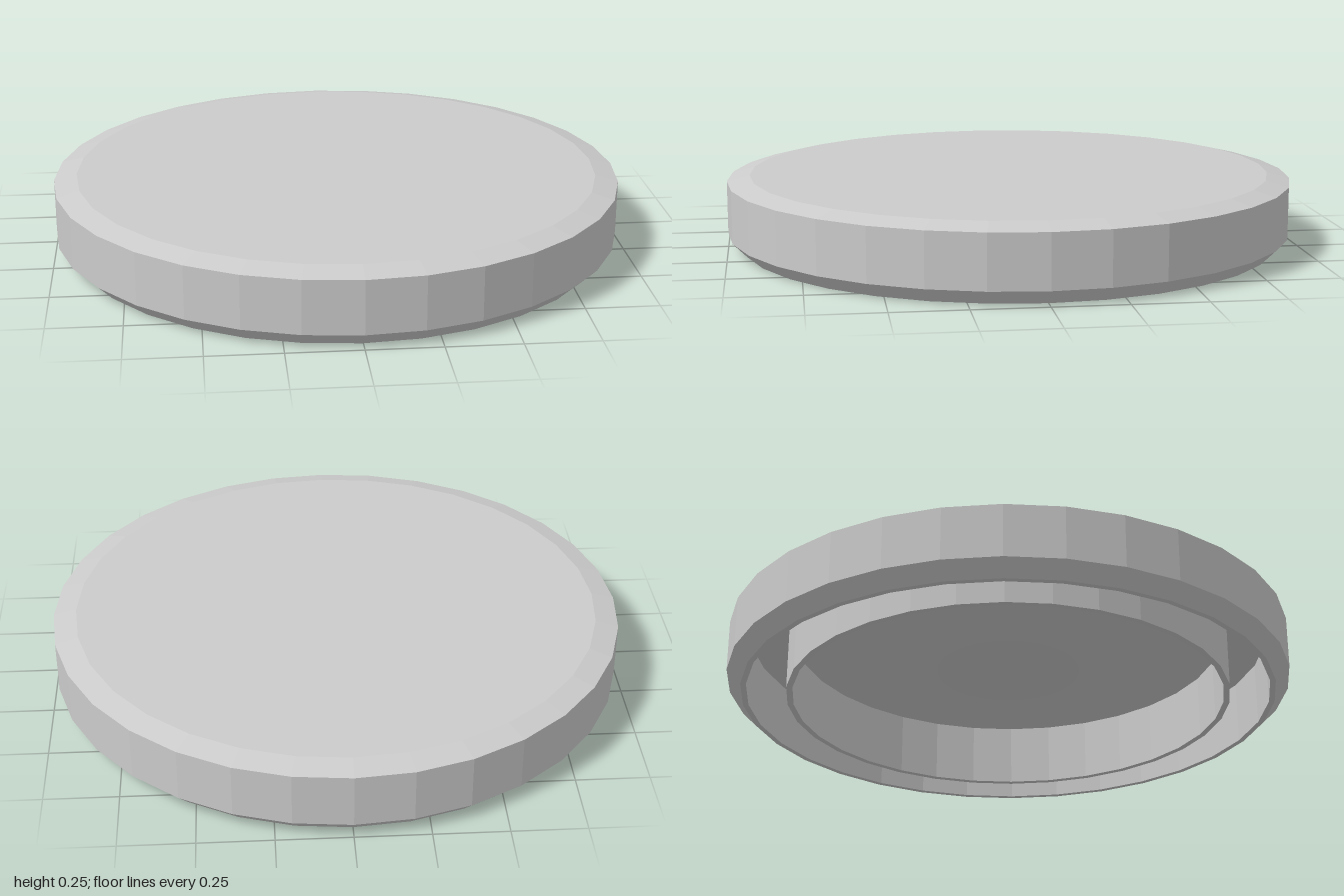
import * as THREE from 'three';

const SIDES = 32;

// Revolves a list of [radius, height] pairs, outlined from underside to top
function turned(name, profile) {
  const points = profile.map(([r, y]) => new THREE.Vector2(r, y));
  const material = new THREE.MeshStandardMaterial({ color: 0xcccccc, flatShading: true });
  const mesh = new THREE.Mesh(new THREE.LatheGeometry(points, SIDES), material);
  mesh.name = name;
  return mesh;
}

export function createModel() {
  const lid = new THREE.Group();
  lid.name = 'lid';

  // Cap with a sunken boss below, an outer skirt and bevelled edges
  lid.add(turned('cap', [
    [0, 0.125], [0.256, 0.125], [0.77, 0.227], [0.93, 0.227], // underside
    [0.93, 0], [0.95, 0], [1, 0.05],                          // skirt
    [1, 0.235], [0.92, 0.255], [0, 0.255],                    // rim and top
  ]));

  // Thin sealing ring hanging inside the skirt
  lid.add(turned('sealingRing', [
    [0.768, 0.228], [0.768, 0], [0.79, 0], [0.79, 0.228],
  ]));

  return lid;
}
